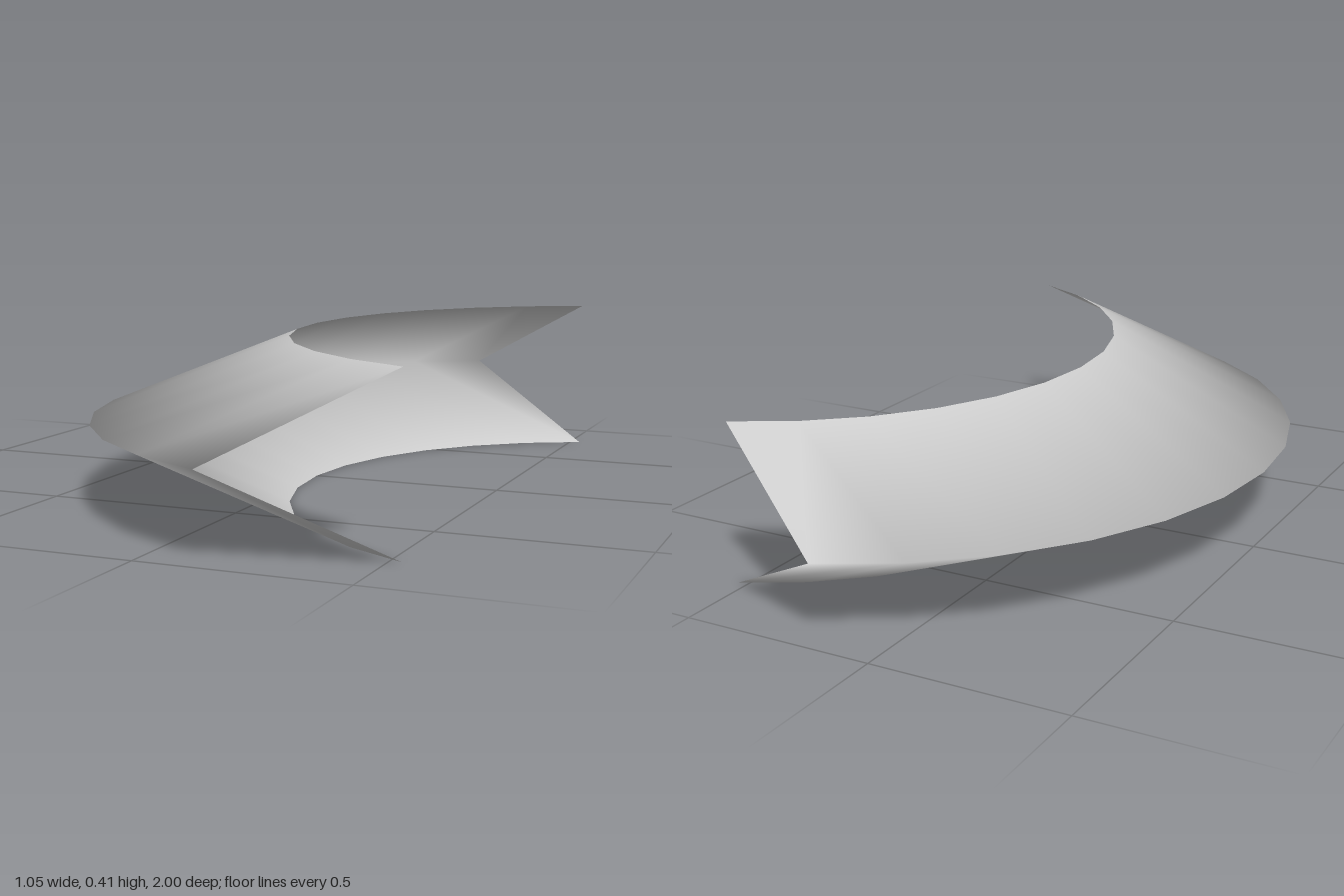
import * as THREE from 'three';

const STEPS = 12;
const HALF_ANGLE = THREE.MathUtils.degToRad(67.3);

// Arcs that bound the shell: lower lip, outer ridge, upper lip
const RAILS = [
  { y: 0, radius: 0.857, centre: 0.857 },
  { y: 0.206, radius: 1.084, centre: 0.564 },
  { y: 0.412, radius: 0.857, centre: 0.857 },
];

// Crescent shell with a V-shaped section, open towards +x
function crescentShell() {
  const positions = [];
  const index = [];
  const n = RAILS.length;
  for (let i = 0; i <= STEPS; i++) {
    const t = HALF_ANGLE * ((2 * i) / STEPS - 1);
    for (const { y, radius, centre } of RAILS) {
      positions.push(centre - radius * Math.cos(t), y, radius * Math.sin(t));
    }
  }
  for (let i = 0; i < STEPS; i++) {
    for (let j = 0; j < n - 1; j++) {
      const a = i * n + j;
      const b = a + n;
      index.push(a, b, b + 1, a, b + 1, a + 1);
    }
  }
  const geometry = new THREE.BufferGeometry();
  geometry.setAttribute('position', new THREE.Float32BufferAttribute(positions, 3));
  geometry.setIndex(index);
  geometry.computeVertexNormals();
  return geometry;
}

export function createModel() {
  const group = new THREE.Group();
  group.name = 'crescentBand';
  const material = new THREE.MeshStandardMaterial({ color: 0xcccccc, side: THREE.DoubleSide });
  const shell = new THREE.Mesh(crescentShell(), material);
  shell.name = 'curvedShell';
  group.add(shell);
  return group;
}
